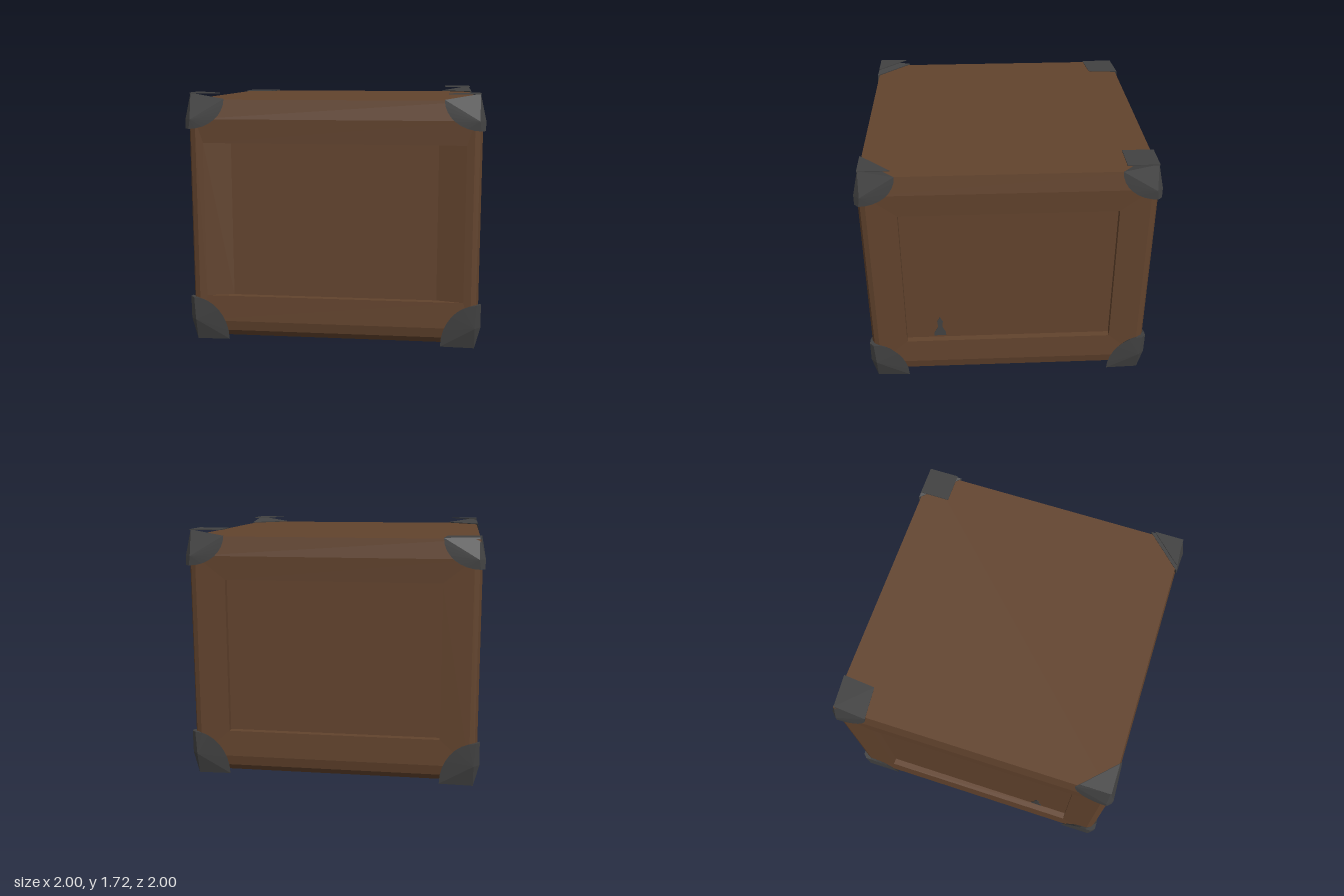
import * as THREE from 'three';
import { ConvexGeometry } from 'three/addons/geometries/ConvexGeometry.js';

const wood = new THREE.MeshStandardMaterial({ color: 0x62432d });
wood.name = 'brown wood';
const metal = new THREE.MeshStandardMaterial({ color: 0x414141 });
metal.name = 'dark metal';

// Face made of nested rectangles [half width, low, high, depth], outermost first, facing +z
function panelFace(rings) {
  const pos = [];
  const corners = rings.map(([u, lo, hi, d]) => [[-u, lo, d], [u, lo, d], [u, hi, d], [-u, hi, d]]);
  const quad = (a, b, c, d) => pos.push(...a, ...b, ...c, ...a, ...c, ...d);
  for (let r = 0; r + 1 < corners.length; r++) {
    for (let i = 0; i < 4; i++) {
      const j = (i + 1) % 4;
      quad(corners[r][i], corners[r][j], corners[r + 1][j], corners[r + 1][i]);
    }
  }
  quad(...corners[corners.length - 1]);
  const g = new THREE.BufferGeometry();
  g.setAttribute('position', new THREE.Float32BufferAttribute(pos, 3));
  g.computeVertexNormals();
  return g;
}

// Metal cap wrapped round one corner
function cornerCap(sx, sz, top, apexY, flatTop) {
  const pts = [];
  const add = (x, y, z) => pts.push(new THREE.Vector3(x * sx, y, z * sz));
  for (let i = 0; i <= 8; i++) {
    const a = (i / 8) * Math.PI / 2;
    const u = 0.97 - 0.24 * Math.cos(a);
    const y = top ? 1.676 - 0.2 * Math.sin(a) : 0.01 + 0.3 * Math.sin(a);
    const d = 0.978 + 0.02 * Math.sin(a);
    add(u, y, d);
    add(d, y, u);
    if (flatTop) add(0.97 - 0.22 * Math.cos(a), 1.676, 0.97 - 0.22 * Math.sin(a));
  }
  const bulgeY = top ? 1.54 : 0.15;
  add(1, bulgeY, 0.96);
  add(0.96, bulgeY, 1);
  if (flatTop) add(0.75, 1.676, 0.75);
  add(0.96, apexY, 0.96);
  return new ConvexGeometry(pts);
}

export function createModel() {
  const group = new THREE.Group();
  const add = (geometry, material, name) => {
    const mesh = new THREE.Mesh(geometry, material);
    mesh.name = name;
    group.add(mesh);
    return mesh;
  };

  // Four framed sides; the front panel runs softly into its posts
  ['frontSide', 'leftSide', 'backSide', 'rightSide'].forEach((name, k) => {
    const front = k === 0;
    const g = panelFace([
      [0.965, 0.07, 1.67, 0.965],
      [0.93, 0.14, 1.54, 0.982],
      [front ? 0.88 : 0.73, 0.32, 1.38, 0.975],
      [front ? 0.7 : 0.73, 0.32, 1.38, 0.93],
    ]);
    g.rotateY(k * Math.PI / 2);
    add(g, wood, name);
  });

  // Lid and sunken underside
  add(panelFace([[0.965, -0.965, 0.965, 1.67]]).rotateX(-Math.PI / 2), wood, 'lid');
  add(panelFace([
    [0.965, -0.965, 0.965, -0.07],
    [0.9, -0.9, 0.9, -0.015],
    [0.62, -0.62, 0.62, -0.015],
    [0.62, -0.62, 0.62, -0.06],
  ]).rotateX(Math.PI / 2), wood, 'underside');

  // Raised board under the base
  const board = add(new THREE.BoxGeometry(0.6, 0.03, 0.6), wood, 'bottomBoard');
  board.position.y = 0.045;

  // Corner caps, with raised plates on three of the upper ones
  for (const sx of [-1, 1]) {
    for (const sz of [-1, 1]) {
      const flush = sx < 0 && sz < 0;
      add(cornerCap(sx, sz, false, 0, false), metal, 'lowerCornerCap');
      add(cornerCap(sx, sz, true, flush ? 1.68 : 1.715, flush), metal, 'upperCornerCap');
      if (flush) continue;
      const outline = [[0.965, 0.965], [0.965, 0.755], [0.755, 0.965]];
      if (sz < 0) outline.splice(2, 0, [0.755, 0.755]);
      const shape = new THREE.Shape(outline.map(([x, z]) => new THREE.Vector2(x * sx, -z * sz)));
      const plate = new THREE.ExtrudeGeometry(shape, { depth: 0.006, bevelEnabled: false });
      plate.rotateX(-Math.PI / 2);
      add(plate, metal, 'topCornerPlate').position.y = 1.711;
    }
  }

  // Small metal marks on the two side panels
  const mark = new THREE.Shape([[-0.045, 0.335], [0.04, 0.335], [0.04, 0.36], [0.015, 0.41],
    [0.02, 0.46], [0, 0.5], [-0.02, 0.46], [-0.015, 0.41], [-0.045, 0.36]]
    .map(([x, y]) => new THREE.Vector2(x, y)));
  for (const s of [-1, 1]) {
    const g = new THREE.ExtrudeGeometry(mark, { depth: 0.004, bevelEnabled: false });
    g.rotateY(s * Math.PI / 2);
    add(g, metal, 'sideMark').position.set(s * 0.93, 0, 0.49);
  }
  return group;
}
